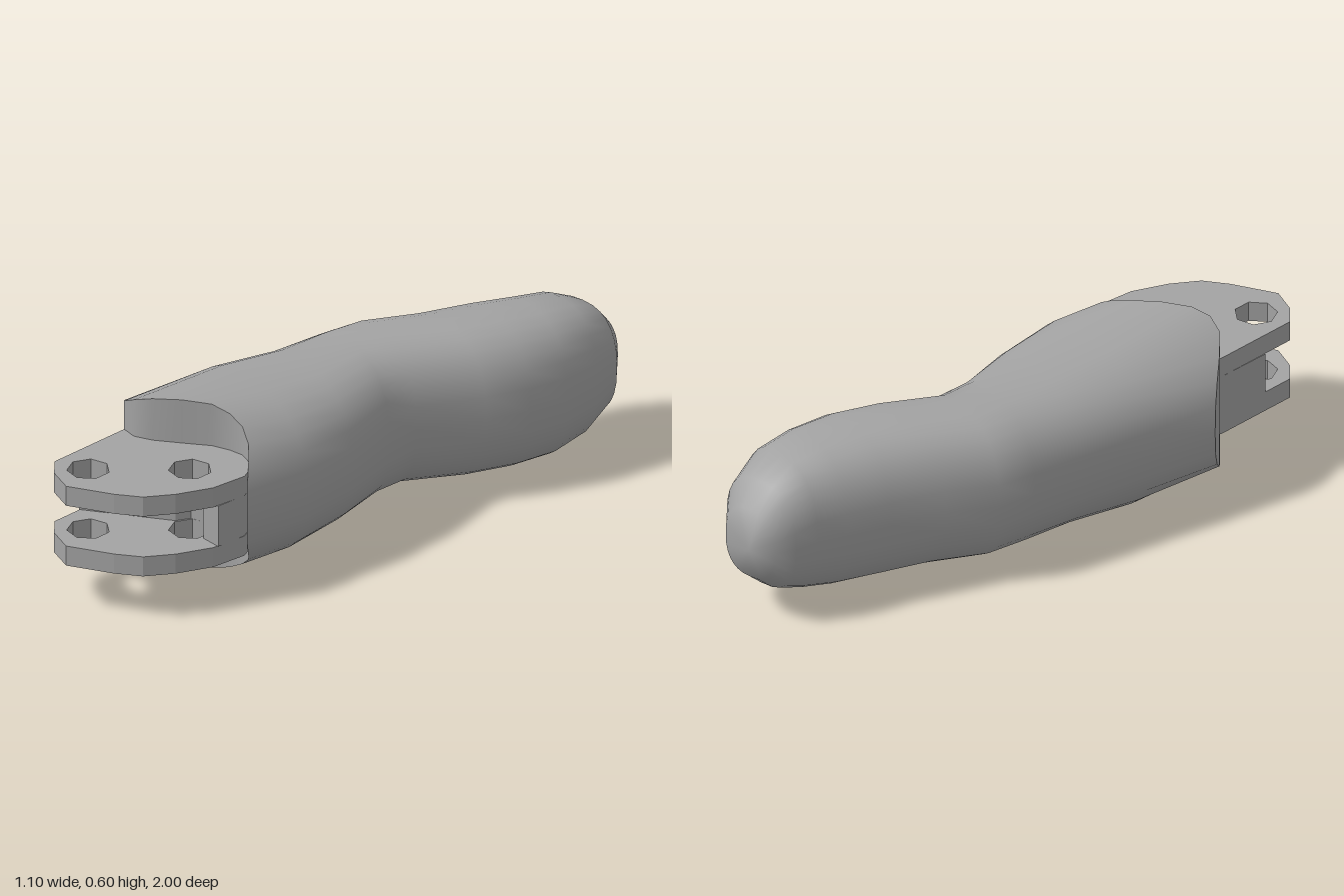
import * as THREE from 'three';

const N = 28; // points around each grip section

// Grip sections, front to back: left edge x, z, right edge x, z, bottom y, top y
const sections = [
  [-0.55, 0.37, 0.06, 0.66, 0.0, 0.6],
  [-0.44, 0.14, 0.14, 0.42, 0.02, 0.58],
  [-0.33, -0.08, 0.18, 0.2, 0.04, 0.56],
  [-0.25, -0.25, 0.18, -0.03, 0.045, 0.56],
  [-0.19, -0.37, 0.21, -0.15, 0.045, 0.56],
  [-0.06, -0.49, 0.37, -0.32, 0.04, 0.565],
  [0.05, -0.64, 0.46, -0.44, 0.04, 0.565],
  [0.14, -0.76, 0.52, -0.57, 0.045, 0.555],
  [0.2, -0.85, 0.55, -0.71, 0.07, 0.54],
  [0.24, -0.92, 0.54, -0.85, 0.11, 0.49],
  [0.29, -0.97, 0.49, -0.94, 0.17, 0.42],
];

// Hollowed front end of the grip, as z along x
const endProfile = [[-0.55, 0.37], [-0.5, 0.48], [-0.45, 0.57], [-0.4, 0.59], [-0.31, 0.58],
  [-0.17, 0.52], [-0.05, 0.515], [0.01, 0.56], [0.06, 0.66]];

function endZ(x) {
  for (let i = 1; i < endProfile.length; i++) {
    const [x0, z0] = endProfile[i - 1], [x1, z1] = endProfile[i];
    if (x <= x1) return THREE.MathUtils.lerp(z0, z1, (x - x0) / (x1 - x0));
  }
  return 0.66;
}

// Rounded-box section point; the front section follows the end profile
function sectionPoint(i, j) {
  const [lx, lz, rx, rz, y0, y1] = sections[i];
  const a = (j / N) * Math.PI * 2;
  const round = (v) => Math.sign(v) * Math.pow(Math.abs(v), 2 / 2.5);
  const t = (round(Math.cos(a)) + 1) / 2;
  const x = THREE.MathUtils.lerp(lx, rx, t);
  const y = (y0 + y1) / 2 + ((y1 - y0) / 2) * round(Math.sin(a));
  return [x, y, i === 0 ? endZ(x) : THREE.MathUtils.lerp(lz, rz, t)];
}

function makeGeometry(positions, index) {
  const g = new THREE.BufferGeometry();
  g.setAttribute('position', new THREE.Float32BufferAttribute(positions, 3));
  g.setIndex(index);
  g.computeVertexNormals();
  return g;
}

function gripGeometry() {
  const pos = [], idx = [];
  const last = sections.length - 1;
  for (let i = 0; i <= last; i++) for (let j = 0; j < N; j++) pos.push(...sectionPoint(i, j));
  for (let i = 0; i < last; i++) {
    for (let j = 0; j < N; j++) {
      const a = i * N + j, b = i * N + ((j + 1) % N);
      idx.push(a, a + N, b, b, a + N, b + N);
    }
  }
  // Rounded tip
  const tip = pos.length / 3;
  pos.push(0.37, 0.3, -1);
  for (let j = 0; j < N; j++) idx.push(last * N + j, tip, last * N + ((j + 1) % N));
  return makeGeometry(pos, idx);
}

// Upright strips closing the front of the grip
function endGeometry() {
  const pos = [], idx = [];
  const half = N / 2;
  for (let k = 0; k <= half; k++) pos.push(...sectionPoint(0, k), ...sectionPoint(0, (N - k) % N));
  for (let k = 0; k < half; k++) {
    const t = 2 * k, b = t + 1;
    if (k < half - 1) idx.push(t, t + 2, b + 2);
    if (k > 0) idx.push(t, b + 2, b);
  }
  return makeGeometry(pos, idx);
}

// Flat slab from a plan outline in x, z
function slab(outline, y, height, holes = []) {
  const shape = new THREE.Shape(outline.map(([x, z]) => new THREE.Vector2(x, -z)));
  for (const [hx, hz, r] of holes) {
    const pts = [];
    for (let i = 0; i < 7; i++) {
      const a = 0.2 - (i / 7) * Math.PI * 2;
      pts.push(new THREE.Vector2(hx + r * Math.cos(a), -hz + r * Math.sin(a)));
    }
    shape.holes.push(new THREE.Path(pts));
  }
  const g = new THREE.ExtrudeGeometry(shape, { depth: height, bevelEnabled: false });
  g.rotateX(-Math.PI / 2);
  g.translate(0, y, 0);
  return g;
}

export function createModel() {
  const model = new THREE.Group();
  model.name = 'forkedGrip';
  const grey = new THREE.MeshStandardMaterial({ color: 0xa3a3a3 });
  grey.name = 'grey';
  const add = (name, geometry) => {
    const mesh = new THREE.Mesh(geometry, grey);
    mesh.name = name;
    model.add(mesh);
  };

  add('grip', gripGeometry());
  add('gripEnd', endGeometry());

  // Two drilled fork plates
  const plate = [[-0.4, 0.5], [-0.455, 0.57], [-0.53, 0.87], [-0.49, 0.94], [-0.41, 1.0], [-0.25, 0.97],
    [-0.16, 0.94], [-0.08, 0.87], [0, 0.77], [0.045, 0.65], [0.03, 0.57], [-0.02, 0.48]];
  const holes = [[-0.13, 0.695, 0.07], [-0.41, 0.86, 0.07]];
  add('lowerForkPlate', slab(plate, 0.16, 0.07, holes));
  add('upperForkPlate', slab(plate, 0.375, 0.07, holes));

  // Web between the plates, cut back around the inner hole
  const web = [[-0.4, 0.5], [-0.455, 0.57], [-0.505, 0.76], [-0.2, 0.67], [-0.165, 0.63], [-0.1, 0.633],
    [-0.06, 0.69], [-0.06, 0.73], [0.01, 0.755], [0.043, 0.65], [0.03, 0.57], [-0.02, 0.48]];
  add('forkWeb', slab(web, 0.23, 0.145));

  return model;
}
